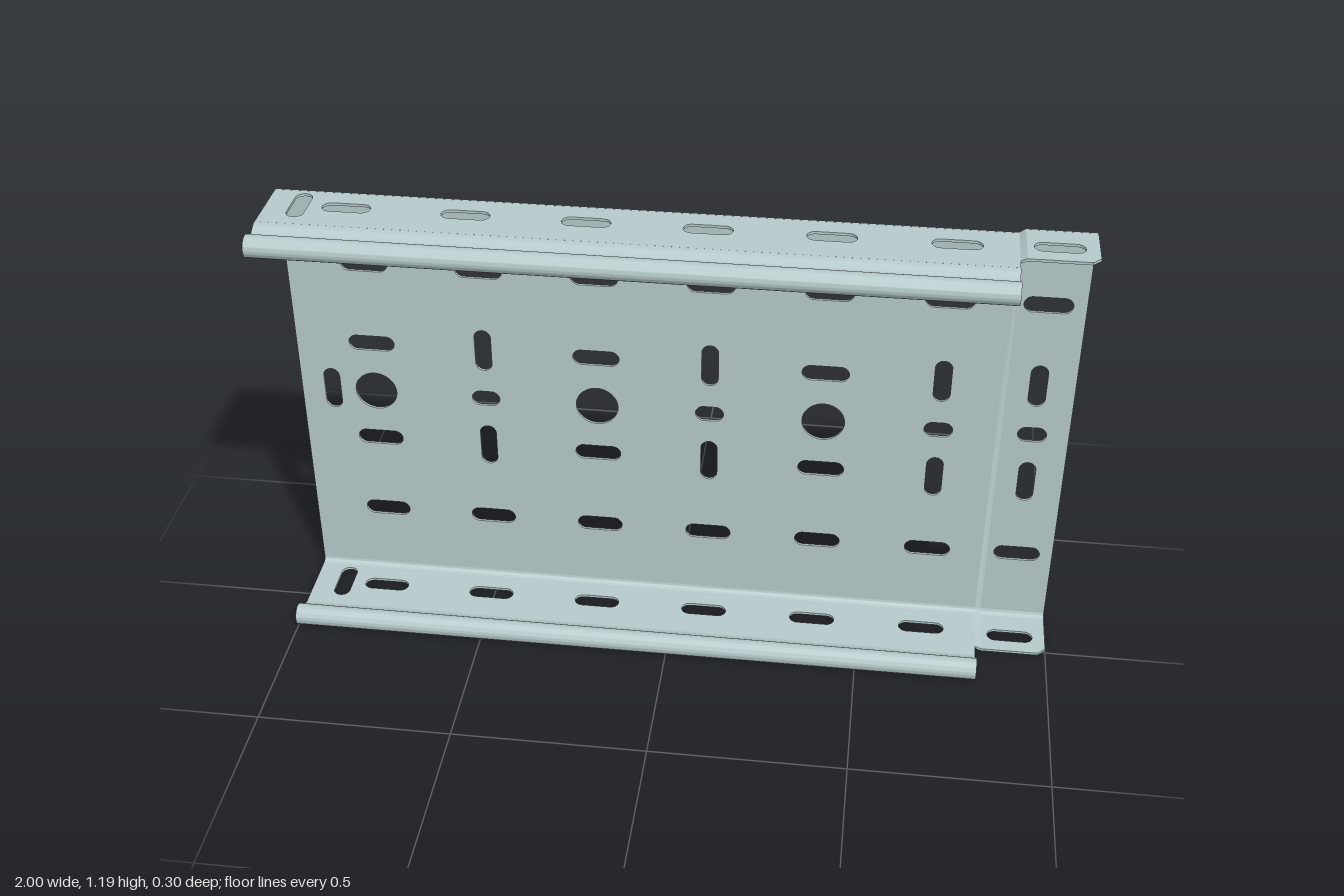
import * as THREE from 'three';
import { toCreasedNormals } from 'three/addons/utils/BufferGeometryUtils.js';

const H = 1.19;        // overall height
const T = 0.007;       // sheet thickness
const R = 0.02;        // outer bend radius
const BACK = -0.15;    // rearmost plane
const X0 = -1, X1 = 0.815, X2 = 0.83, X3 = 1; // main | joggle | coupling end
const COLS = [-0.8, -0.506, -0.212, 0.082, 0.376, 0.67, 0.907];
const SLOT = 0.12, SLOT_W = 0.043;

const material = new THREE.MeshStandardMaterial({ color: 0xb6c9ca, side: THREE.DoubleSide });

function mesh(name, geometry) {
  const m = new THREE.Mesh(toCreasedNormals(geometry, 0.6), material);
  m.name = name;
  return m;
}

// Rounded slot (a circle when w equals h)
function slot(x, y, w, h) {
  const p = new THREE.Path();
  const r = Math.min(w, h) / 2, dx = w / 2 - r, dy = h / 2 - r;
  if (w >= h) {
    p.absarc(x + dx, y, r, -Math.PI / 2, Math.PI / 2, false);
    p.absarc(x - dx, y, r, Math.PI / 2, Math.PI * 1.5, false);
  } else {
    p.absarc(x, y + dy, r, 0, Math.PI, false);
    p.absarc(x, y - dy, r, Math.PI, Math.PI * 2, false);
  }
  p.closePath();
  return p;
}

// Flat perforated sheet
function plate(outline, holes) {
  const s = new THREE.Shape(outline.map(([x, y]) => new THREE.Vector2(x, y)));
  s.holes.push(...holes);
  return new THREE.ExtrudeGeometry(s, { depth: T, bevelEnabled: false, curveSegments: 10 });
}

// Sheet that follows a (z, y) centre line, drawn along x
function strip(path, xa, xb) {
  const left = [], right = [];
  path.forEach((p, i) => {
    const a = path[Math.max(i - 1, 0)], b = path[Math.min(i + 1, path.length - 1)];
    const n = new THREE.Vector2(a.y - b.y, b.x - a.x).normalize().multiplyScalar(T / 2);
    left.push(new THREE.Vector2(-p.x - n.x, p.y + n.y));
    right.unshift(new THREE.Vector2(-p.x + n.x, p.y - n.y));
  });
  const g = new THREE.ExtrudeGeometry(new THREE.Shape([...left, ...right]),
    { depth: xb - xa, bevelEnabled: false });
  return g.rotateY(Math.PI / 2).translate(xa, 0, 0);
}

const flip = (path) => path.map((p) => new THREE.Vector2(p.x, H - p.y));

// Upper rear bend, from flange to web
function bendPath(inset) {
  const pts = [];
  for (let i = 0; i <= 8; i++) {
    const a = Math.PI / 2 * (1 + i / 8), r = R - T / 2;
    pts.push(new THREE.Vector2(BACK + inset + R + r * Math.cos(a), H - inset - R + r * Math.sin(a)));
  }
  return pts;
}

// Dip and open curl along the front edge of a flange
function lipPath(start) {
  const y = H - T - T / 2, cz = 0.122, cy = 1.159, r = 0.0245;
  const pts = [[start, y], [0.056, y - 0.001], [0.069, y - 0.008], [0.083, y - 0.0135], [0.097, y - 0.008]];
  for (let a = 120; a >= -140; a -= 20) {
    const t = THREE.MathUtils.degToRad(a);
    pts.push([cz + r * Math.cos(t), cy + r * Math.sin(t)]);
  }
  return new THREE.CatmullRomCurve3(pts.map(([z, v]) => new THREE.Vector3(z, v, 0)))
    .getPoints(72).map((p) => new THREE.Vector2(p.x, p.y));
}

function webHoles(i) {
  const x = COLS[i], mid = H / 2 + 0.003, holes = [];
  const round = i % 2 === 0 && i < 6;
  for (const s of [-1, 1]) {
    holes.push(slot(x, mid + s * 0.382, SLOT, SLOT_W));
    holes.push(round ? slot(x, mid + s * 0.147, SLOT, SLOT_W) : slot(x, mid + s * 0.147, SLOT_W, SLOT));
  }
  holes.push(round ? slot(x, mid, 0.11, 0.11) : slot(x, mid, 0.073, SLOT_W));
  return holes;
}

// Web, both bends and both flanges of one straight section
function channel(name, xa, xb, inset, front, cut, cols, extra) {
  const g = new THREE.Group();
  g.name = name;
  const lo = inset + R, hi = H - inset - R, zb = BACK + inset + R;

  const holes = cols.flatMap(webHoles);
  if (extra) holes.push(slot(-0.917, H / 2 + 0.003, SLOT_W, SLOT));
  const web = mesh('web', plate([[xa, lo], [xb, lo], [xb, hi], [xa, hi]], holes));
  web.position.z = BACK + inset;
  g.add(web);

  const outline = [[xa, zb], [xb, zb], [xb, front - cut], [xb - cut, front], [xa, front]];
  if (!cut) outline.splice(3, 1);
  for (const top of [true, false]) {
    const side = top ? 'upper' : 'lower';
    const slots = cols.map((i) => slot(COLS[i], -0.05, SLOT, SLOT_W));
    if (extra) slots.push(slot(-0.917, -0.05, SLOT_W, SLOT));
    const flange = mesh(side + 'Flange', plate(outline, slots).rotateX(Math.PI / 2));
    flange.position.y = top ? H - inset : inset + T;
    const bend = bendPath(inset);
    g.add(flange, mesh(side + 'Bend', strip(top ? bend : flip(bend), xa, xb)));
  }
  return g;
}

export function createModel() {
  const model = new THREE.Group();
  model.name = 'perforatedCableTray';

  // Main length and the slightly wider coupling end
  const lipStart = 0.045, endFront = 0.012;
  model.add(channel('mainSection', X0, X1, T, lipStart, 0, [0, 1, 2, 3, 4, 5], true));
  model.add(channel('couplingEnd', X2, X3, 0, endFront, 0.02, [6], false));

  // Step between the two, flared outward by one sheet thickness
  const half = [new THREE.Vector2(endFront, H - T - T / 2), ...bendPath(T)];
  const step = strip([...half, ...flip(half).reverse()], X1, X2);
  const p = step.attributes.position;
  for (let i = 0; i < p.count; i++) {
    if (p.getX(i) < (X1 + X2) / 2) continue;
    p.setY(i, p.getY(i) + (p.getY(i) > H / 2 ? T : -T));
    if (p.getZ(i) < 0) p.setZ(i, p.getZ(i) - T);
  }
  model.add(mesh('joggle', step));

  // Curled edges
  const lip = lipPath(lipStart);
  model.add(mesh('upperLip', strip(lip, X0, X1)));
  model.add(mesh('lowerLip', strip(flip(lip), X0, X1)));
  return model;
}
